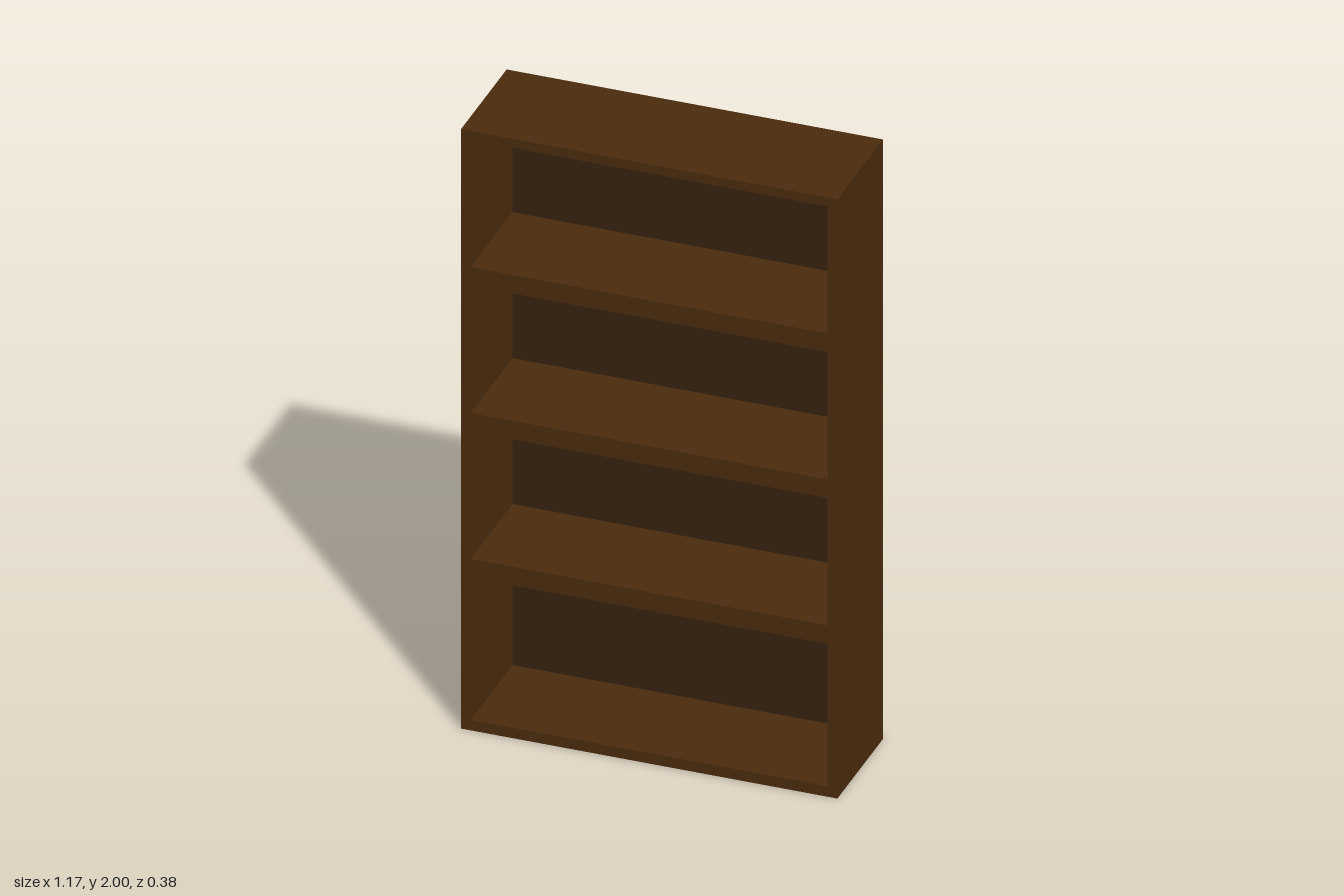
import * as THREE from 'three';

export function createModel() {
  const wood = new THREE.MeshStandardMaterial({ color: 0x4b2c0e });
  wood.name = 'brownWood';
  const darkWood = new THREE.MeshStandardMaterial({ color: 0x36220f });
  darkWood.name = 'darkWood';

  const W = 1.168, H = 2, D = 0.376, T = 0.03;
  const bookcase = new THREE.Group();
  bookcase.name = 'bookcase';

  // Box placed by its centre
  const board = (name, w, h, d, x, y, z, material = wood) => {
    const mesh = new THREE.Mesh(new THREE.BoxGeometry(w, h, d), material);
    mesh.name = name;
    mesh.position.set(x, y, z);
    bookcase.add(mesh);
  };

  // Outer case
  for (const [name, s] of [['leftSide', 1], ['rightSide', -1]]) {
    board(name, T, H, D, s * (W - T) / 2, H / 2, 0);
  }
  const innerW = W - 2 * T;
  board('topBoard', innerW, T, D, 0, H - T / 2, 0);
  board('bottomBoard', innerW, 0.035, D, 0, 0.0175, 0);

  // Back, with a darker lining towards the shelves
  const backT = 0.026, liningT = 0.005;
  board('backBoard', innerW, H - T - 0.035, backT, 0, (H - T + 0.035) / 2, -D / 2 + backT / 2);
  board('backLining', innerW, H - T - 0.035, liningT, 0, (H - T + 0.035) / 2,
    -D / 2 + backT + liningT / 2, darkWood);

  // Three evenly spaced shelves, flush with the front
  const shelfD = D - backT - liningT;
  for (let i = 0; i < 3; i++) {
    board(`shelf${i + 1}`, innerW, 0.062, shelfD, 0, 0.541 + i * 0.487, (D - shelfD) / 2);
  }

  return bookcase;
}
